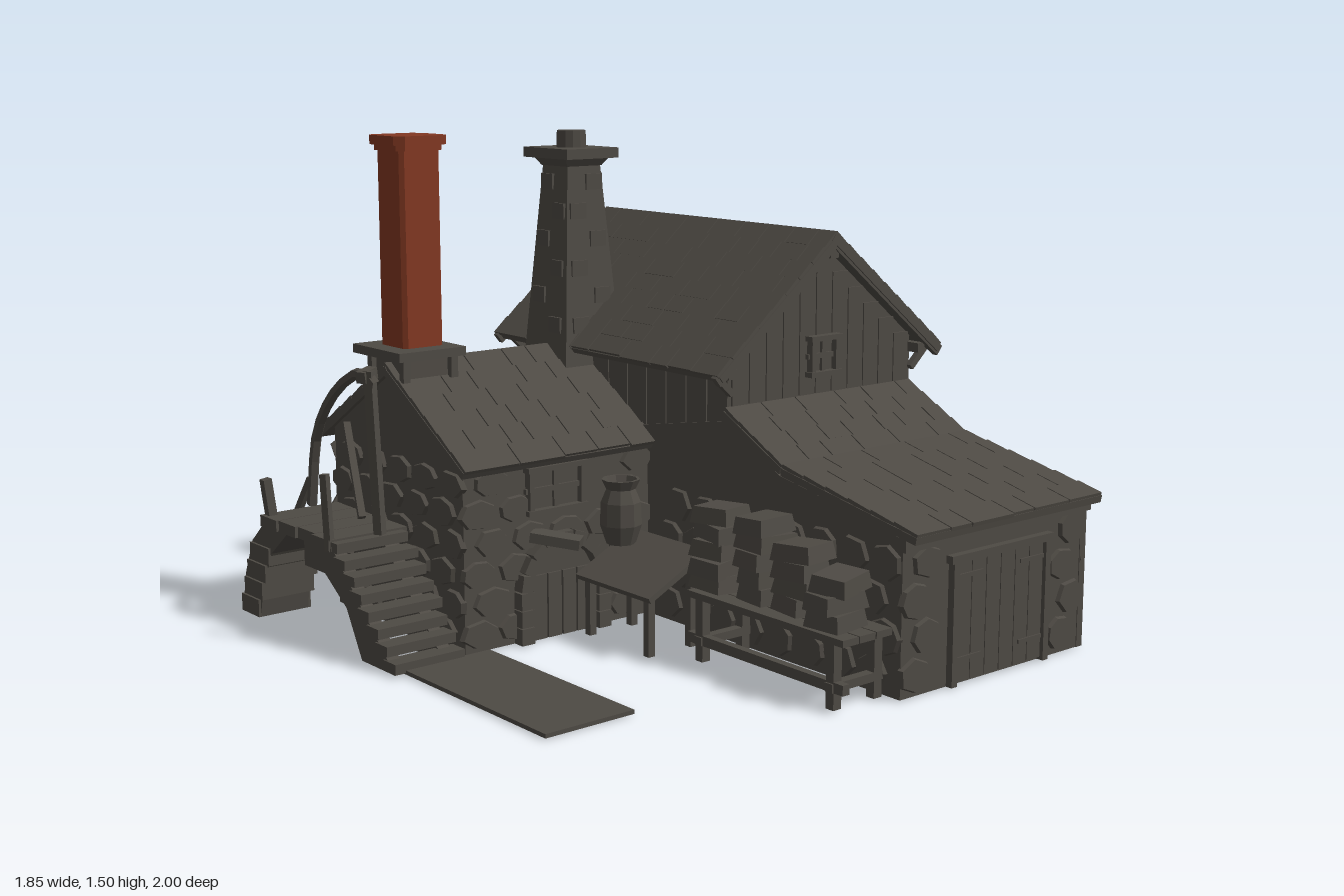
import * as THREE from 'three';

const grey = new THREE.MeshStandardMaterial({ color: 0x4e4a44 });
grey.name = 'weatheredGrey';
const red = new THREE.MeshStandardMaterial({ color: 0x823822 });
red.name = 'brickRed';

export function createModel() {
  const root = new THREE.Group();
  root.name = 'forgeHouse';
  let seed = 7;
  const rnd = (a = 0, b = 1) => {
    seed = (seed * 16807) % 2147483647;
    return a + (b - a) * (seed / 2147483647);
  };
  const group = (name, parent = root) => {
    const g = new THREE.Group();
    g.name = name;
    parent.add(g);
    return g;
  };
  const add = (name, geo, parent = root, mat = grey) => {
    const m = new THREE.Mesh(geo.index ? geo.toNonIndexed() : geo, mat);
    m.geometry.computeVertexNormals();
    m.name = name;
    parent.add(m);
    return m;
  };
  // box given by its min and max corners
  const box = (name, x0, x1, y0, y1, z0, z1, parent = root, mat = grey) => {
    const m = add(name, new THREE.BoxGeometry(x1 - x0, y1 - y0, z1 - z0), parent, mat);
    m.position.set((x0 + x1) / 2, (y0 + y1) / 2, (z0 + z1) / 2);
    return m;
  };
  // square timber between two points
  const beam = (name, a, b, t = 0.025, parent = root, w = t) => {
    const p = new THREE.Vector3(...a), q = new THREE.Vector3(...b);
    const m = add(name, new THREE.BoxGeometry(w, t, p.distanceTo(q)), parent);
    m.position.copy(p).add(q).multiplyScalar(0.5);
    m.lookAt(q);
    return m;
  };
  const shape = pts => new THREE.Shape(pts.map(p => new THREE.Vector2(...p)));
  const extrude = (pts, depth) => new THREE.ExtrudeGeometry(shape(pts), { depth, bevelEnabled: false });
  // prism with a z,y outline, running from x0 to x1
  const prismX = (name, pts, x0, x1, parent = root) => {
    const m = add(name, extrude(pts, x1 - x0), parent);
    m.rotation.y = -Math.PI / 2;
    m.position.x = x1;
    return m;
  };

  // roof plane: local x runs along the ridge, z runs downhill
  const slope = (name, len, run, drop, rows, parent) => {
    const g = group(name, parent), L = Math.hypot(run, drop), h = L / rows;
    g.rotation.x = Math.atan2(drop, run);
    box('roofBoards', -len / 2, len / 2, -0.032, -0.01, 0, L, g);
    for (let r = 0; r < rows; r++) {
      for (let x = -len / 2; x < len / 2 - 0.001;) {
        let e = x + rnd(0.08, 0.2);
        if (e > len / 2 - 0.06) e = len / 2;
        const s = box('shingle', x + 0.002, e - 0.002, -0.011, 0.001, r * h, (r + 1) * h + rnd(-0.004, 0.004), g);
        s.rotation.x = 0.05;
        x = e;
      }
    }
    return g;
  };

  // irregular flat stones scattered over a wall facing angle ry
  const stones = (name, w, h, pos, ry, skip = () => false) => {
    const g = group(name);
    g.position.set(...pos);
    g.rotation.y = ry;
    const nx = Math.round(w / 0.13), ny = Math.round(h / 0.095);
    for (let i = 0; i < nx; i++) for (let j = 0; j < ny; j++) {
      const x = (i + 0.5 + (j % 2 ? 0.18 : -0.18)) * w / nx - w / 2, y = (j + 0.5) * h / ny;
      if (skip(x, y)) continue;
      const s = add('wallStone', new THREE.CylinderGeometry(0.48, 0.54, 0.016, 6 + (i + j) % 3), g);
      s.rotation.set(Math.PI / 2, rnd(0, 1), 0);
      s.geometry.rotateY(rnd(0, 3));
      s.rotation.y = 0;
      s.scale.set(w / nx * rnd(0.85, 1.0), 1, h / ny * rnd(0.85, 1.0));
      s.position.set(x, y, 0.004);
    }
  };

  // main stone hall with the lean-to front
  prismX('stoneHall', [[-0.84, 0], [0.94, 0], [0.94, 0.455], [0.45, 0.545], [0.22, 0.67], [-0.84, 0.48]], 0.06, 0.82);
  stones('sideWallStones', 1.74, 0.42, [0.82, 0.01, 0.05], Math.PI / 2);
  stones('backWallStones', 0.74, 0.46, [0.44, 0.01, -0.84], Math.PI);
  stones('frontWallStones', 0.74, 0.42, [0.44, 0.01, 0.94], 0, x => Math.abs(x) < 0.25);
  stones('leftWallStones', 1.0, 0.42, [0.06, 0.01, 0.42], -Math.PI / 2);

  // lean-to roof in two pitches
  [[0.22, 0.71, 0.25, 0.13, 4], [0.47, 0.58, 0.53, 0.1, 6]].forEach(([z, y, run, drop, rows]) => {
    slope('leanToRoof', 0.785, run, drop, rows, root).position.set(0.4425, y, z);
  });

  // barn doors with frame
  const doors = group('barnDoors');
  for (let i = 0; i < 6; i++) box('doorPlank', 0.268 + i * 0.061, 0.326 + i * 0.061, 0.01, 0.355, 0.93, 0.953, doors);
  for (const x of [0.245, 0.635]) box('doorPost', x, x + 0.022, 0, 0.375, 0.93, 0.962, doors);
  box('doorLintel', 0.235, 0.665, 0.357, 0.38, 0.93, 0.964, doors);
  for (const y of [0.07, 0.31]) for (const x of [0.27, 0.53]) box('doorHinge', x, x + 0.1, y, y + 0.012, 0.95, 0.958, doors);
  box('frontBeam', 0.05, 0.835, 0.42, 0.46, 0.92, 0.96);

  // timber framing on the right side of the lean-to
  const frame = group('sideFraming');
  beam('sideBeam', [0.832, 0.44, 0.26], [0.832, 0.43, 0.94], 0.03, frame);
  beam('topBeam', [0.83, 0.52, 0.24], [0.83, 0.47, 0.94], 0.03, frame);
  beam('brace', [0.834, 0.42, 0.85], [0.834, 0.24, 0.63], 0.03, frame);
  beam('brace', [0.834, 0.01, 0.74], [0.834, 0.42, 0.29], 0.035, frame);
  beam('cornerPost', [0.825, 0, 0.93], [0.825, 0.45, 0.93], 0.025, frame);

  // timber upper floor
  const upper = group('upperFloor');
  const gable = add('timberWalls', extrude([[0.075, 0.48], [0.83, 0.48], [0.83, 0.865], [0.4525, 1.165], [0.075, 0.865]], 1.04), upper);
  gable.position.z = -0.825;
  for (const z of [-0.83, 0.215]) for (let i = 0; i < 11; i++) {
    const x = 0.08 + i * 0.068, top = 1.15 - Math.abs(x + 0.033 - 0.4525) * 0.79 - 0.015;
    box('gablePlank', x, x + 0.064, z < 0 ? rnd(0.475, 0.5) : 0.6, top, z - 0.008, z + 0.008, upper);
  }
  for (const x of [0.072, 0.833]) for (let i = 0; i < 11; i++)
    box('sidePlank', x - 0.006, x + 0.006, rnd(0.475, 0.49), 0.86, -0.825 + i * 0.095, -0.735 + i * 0.095, upper);
  for (const s of [1, -1]) {
    const w = group('roofSide', upper);
    w.position.set(0.4475, 1.21, -0.285);
    w.rotation.y = s * Math.PI / 2;
    slope('mainRoof', 1.13, 0.475, 0.385, 9, w);
    for (const z of [0.265, -0.835]) {
      beam('bargeBoard', [0.4475, 1.18, z], [0.4475 + s * 0.47, 0.80, z], 0.035, upper, 0.02);
      beam('eaveBracket', [0.4525 + s * 0.38, 0.75, z - Math.sign(z) * 0.04], [0.4525 + s * 0.455, 0.82, z - Math.sign(z) * 0.04], 0.02, upper);
    }
    box('purlin', 0.4475 + s * 0.4 - 0.015, 0.4475 + s * 0.4 + 0.015, 0.8, 0.83, -0.87, 0.26, upper);
  }
  box('ridgeBeam', 0.43, 0.465, 1.13, 1.165, -0.865, 0.27, upper);

  // framed window: dark cross bars over a pane
  const windowAt = (x, y, w, h, z) => {
    const g = group('window');
    g.position.set(x, y, z);
    box('pane', -w / 2, w / 2, -h / 2, h / 2, 0, 0.005, g);
    for (const s of [-1, 0, 1]) box('windowUpright', s * w / 2 - 0.008, s * w / 2 + 0.008, -h / 2, h / 2, 0, s ? 0.025 : 0.015, g);
    for (const s of [-1, 0, 1]) box('windowRail', -w / 2 - 0.015, w / 2 + 0.015, s * h / 2 - 0.008, s * h / 2 + 0.008, 0, s ? 0.03 : 0.014, g);
  };
  windowAt(0.44, 0.83, 0.1, 0.11, 0.222);
  windowAt(-0.305, 0.46, 0.19, 0.13, -0.15);

  // left stone house
  prismX('stoneHouse', [[-0.87, 0], [-0.15, 0], [-0.15, 0.56], [-0.54, 0.79], [-0.87, 0.58]], -0.63, 0.06);
  const doorway = x => Math.abs(x - 0.005) < 0.16;
  stones('houseFrontStones', 0.68, 0.54, [-0.285, 0.01, -0.15], 0, (x, y) => doorway(x) && (y < 0.3 || y > 0.36));
  stones('houseBackStones', 0.68, 0.54, [-0.285, 0.01, -0.87], Math.PI);
  stones('houseLeftStones', 0.7, 0.54, [-0.63, 0.01, -0.51], -Math.PI / 2);
  slope('houseRoofFront', 0.725, 0.425, 0.26, 6, root).position.set(-0.2825, 0.82, -0.54);
  const backRoof = group('houseRoofBack');
  backRoof.position.set(-0.2825, 0.82, -0.54);
  backRoof.rotation.y = Math.PI;
  slope('roofPlane', 0.725, 0.41, 0.26, 6, backRoof);

  // arched doorway
  const arch = group('archedDoor');
  arch.position.set(-0.285, 0, -0.15);
  for (let i = 0; i < 9; i++) {
    const a = (i + 0.5) * Math.PI / 9;
    const s = add('archStone', new THREE.BoxGeometry(0.042, 0.05, 0.06), arch);
    s.position.set(Math.cos(a) * 0.145, 0.16 + Math.sin(a) * 0.145, 0.01);
    s.rotation.z = a;
  }
  for (const s of [-1, 1]) for (let j = 0; j < 3; j++)
    box('jambStone', s * 0.145 - 0.023, s * 0.145 + 0.023, j * 0.054, j * 0.054 + 0.051, -0.02, 0.04, arch);
  const leaf = new THREE.Shape().moveTo(-0.12, 0).lineTo(0.12, 0).lineTo(0.12, 0.16).absarc(0, 0.16, 0.12, 0, Math.PI);
  add('doorLeaf', new THREE.ExtrudeGeometry(leaf, { depth: 0.008, bevelEnabled: false, curveSegments: 8 }), arch);
  for (let i = 0; i < 4; i++) box('doorBoard', -0.108 + i * 0.055, -0.06 + i * 0.055, 0, 0.2, 0.008, 0.016, arch);
  beam('doorProp', [-0.4, 0.33, -0.13], [-0.3, 0.31, -0.02], 0.03, root, 0.07);

  // work table with a leaning cover and pot
  const table = group('workTable');
  beam('tableCover', [-0.25, 0.18, 0.065], [-0.03, 0.29, 0.065], 0.018, table, 0.35);
  for (const z of [-0.08, 0.2]) for (const [x, h] of [[-0.22, 0.18], [-0.06, 0.26]])
    box('tableLeg', x - 0.012, x + 0.012, 0, h, z - 0.012, z + 0.012, table);
  const pot = add('pot', new THREE.LatheGeometry([[0, 0], [0.045, 0], [0.065, 0.06], [0.062, 0.13], [0.045, 0.17],
    [0.06, 0.2], [0.05, 0.2], [0.035, 0.16], [0, 0.16]].map(p => new THREE.Vector2(...p)), 9), table);
  pot.position.set(-0.11, 0.27, -0.07);

  // bench carrying stacked stones
  const bench = group('stoneBench');
  for (let i = 0; i < 3; i++) box('benchPlank', -0.142 + i * 0.064, -0.082 + i * 0.064, 0.185, 0.205, 0.28, 0.92, bench);
  for (const z of [0.33, 0.87]) {
    for (const x of [-0.125, 0.03]) box('benchLeg', x - 0.015, x + 0.015, 0, 0.185, z - 0.015, z + 0.015, bench);
    box('benchFoot', -0.145, 0.05, 0.05, 0.075, z - 0.015, z + 0.015, bench);
  }
  box('benchRail', -0.14, -0.115, 0.05, 0.08, 0.28, 0.92, bench);
  [[0.33, 5, -0.06], [0.5, 5, -0.035], [0.65, 4, -0.035], [0.81, 3, -0.055]].forEach(([z, n, x]) => {
    for (let j = 0; j < n; j++) {
      const s = add('stackedStone', new THREE.CylinderGeometry(0.075, 0.085, 0.048, 4).rotateY(Math.PI / 4), bench);
      s.scale.set(rnd(1, 1.25), 1, rnd(0.95, 1.2));
      s.position.set(x + rnd(-0.012, 0.012), 0.23 + j * 0.05, z);
      s.rotation.set(rnd(-0.06, 0.06), rnd(-0.25, 0.25), rnd(-0.06, 0.06));
    }
  });

  // paving slab and outside stairs with landing
  box('pavingSlab', -0.86, -0.565, 0, 0.012, -0.12, 0.56);
  const stairs = group('outsideStairs');
  for (let i = 0; i < 8; i++) {
    const y = 0.035 + i * 0.042, z = -0.11 - i * 0.042;
    box('stairTread', -0.905 + rnd(0, 0.015), -0.645 - rnd(0, 0.02), y - 0.03, y, z - 0.065, z, stairs);
  }
  for (const x of [-0.89, -0.72])
    prismX('stairArch', [[-0.12, 0], [-0.45, 0.3], [-0.62, 0.3], [-0.62, 0.22], [-0.5, 0.22], [-0.38, 0.14], [-0.3, 0]], x, x + 0.04, stairs);
  for (let i = 0; i < 4; i++)
    box('landingPlank', -0.915 + rnd(0, 0.02), -0.64, 0.3, 0.335, -0.85 + i * 0.104, -0.75 + i * 0.104, stairs);
  prismX('backButtress', [[-1, 0], [-0.88, 0], [-0.86, 0.12], [-0.8, 0.22], [-0.7, 0.3], [-0.84, 0.31], [-0.92, 0.24], [-0.97, 0.13]], -0.905, -0.74, stairs);
  for (let j = 0; j < 4; j++)
    box('buttressStone', -0.913, -0.73, j * 0.06, j * 0.06 + 0.055, -0.99 + j * 0.022, -0.88 + j * 0.025, stairs);

  // railing posts, crooked rail and props
  const rail = group('railing');
  beam('railPost', [-0.74, 0.32, -0.43], [-0.75, 0.82, -0.45], 0.028, rail);
  beam('railPost', [-0.9, 0.3, -0.45], [-0.905, 0.53, -0.46], 0.022, rail);
  beam('railPost', [-0.88, 0.3, -0.83], [-0.9, 0.45, -0.83], 0.028, rail);
  const bend = new THREE.CatmullRomCurve3([[-0.75, 0.78, -0.41], [-0.74, 0.81, -0.5], [-0.74, 0.74, -0.65], [-0.73, 0.58, -0.8], [-0.73, 0.34, -0.85]]
    .map(p => new THREE.Vector3(...p)));
  add('crookedRail', new THREE.TubeGeometry(bend, 10, 0.017, 5), rail);
  beam('railStub', [-0.775, 0.8, -0.46], [-0.72, 0.81, -0.48], 0.035, rail);
  beam('roofProp', [-0.72, 0.42, -0.87], [-0.74, 0.27, -0.95], 0.02, rail);
  beam('roofProp', [-0.7, 0.34, -0.6], [-0.64, 0.6, -0.78], 0.022, rail);

  // square tapered shaft, centred on x,z
  const shaft = (name, r0, r1, y0, y1, x, z, parent, mat = grey) => {
    const m = add(name, new THREE.CylinderGeometry(r1 * Math.SQRT2, r0 * Math.SQRT2, y1 - y0, 4).rotateY(Math.PI / 4), parent, mat);
    m.position.set(x, (y0 + y1) / 2, z);
    return m;
  };

  // red brick chimney
  const brick = group('brickChimney');
  shaft('chimneyPlinth', 0.085, 0.08, 0.6, 0.84, -0.54, -0.545, brick);
  box('plinthSlab', -0.67, -0.435, 0.84, 0.867, -0.675, -0.41, brick);
  for (const s of [-1, 1]) for (const t of [-1, 1])
    box('slabBracket', -0.54 + s * 0.085 - 0.012, -0.54 + s * 0.085 + 0.012, 0.77, 0.84, -0.545 + t * 0.09 - 0.012, -0.545 + t * 0.09 + 0.012, brick);
  const rounded = (r, b) => shape([[-r, -r + b], [-r + b, -r], [r - b, -r], [r, -r + b], [r, r - b], [r - b, r], [-r + b, r], [-r, r - b]]);
  [[0.07, 0.012, 0.867, 1.455], [0.08, 0.02, 1.455, 1.472], [0.092, 0.025, 1.472, 1.5]].forEach(([r, b, y0, y1]) => {
    const m = add('brickShaft', new THREE.ExtrudeGeometry(rounded(r, b), { depth: y1 - y0, bevelEnabled: false }), brick, red);
    m.rotation.x = -Math.PI / 2;
    m.position.set(-0.54, y0, -0.545);
  });

  // tapered stone chimney
  const stack = group('stoneChimney');
  shaft('stoneShaft', 0.125, 0.063, 0.6, 1.41, 0.07, -0.545, stack);
  box('stackSlab', -0.033, 0.17, 1.41, 1.442, -0.662, -0.43, stack);
  shaft('stackCollar', 0.068, 0.085, 1.385, 1.41, 0.07, -0.545, stack);
  add('chimneyPot', new THREE.CylinderGeometry(0.046, 0.048, 0.055, 12), stack).position.set(0.07, 1.468, -0.545);
  for (let j = 0; j < 6; j++) for (const s of [-1, 1]) {
    const y = 0.86 + j * 0.09, r = 0.125 - (y - 0.6) * 0.0765, d = (j % 2 ? s : -s) * r * 0.45;
    box('stackStone', 0.07 + d - 0.03, 0.07 + d + 0.03, y, y + 0.05, -0.545 + s * r - 0.005, -0.545 + s * r + 0.005, stack);
    box('stackStone', 0.07 + s * r - 0.005, 0.07 + s * r + 0.005, y, y + 0.05, -0.545 + d - 0.03, -0.545 + d + 0.03, stack);
  }
  return root;
}
